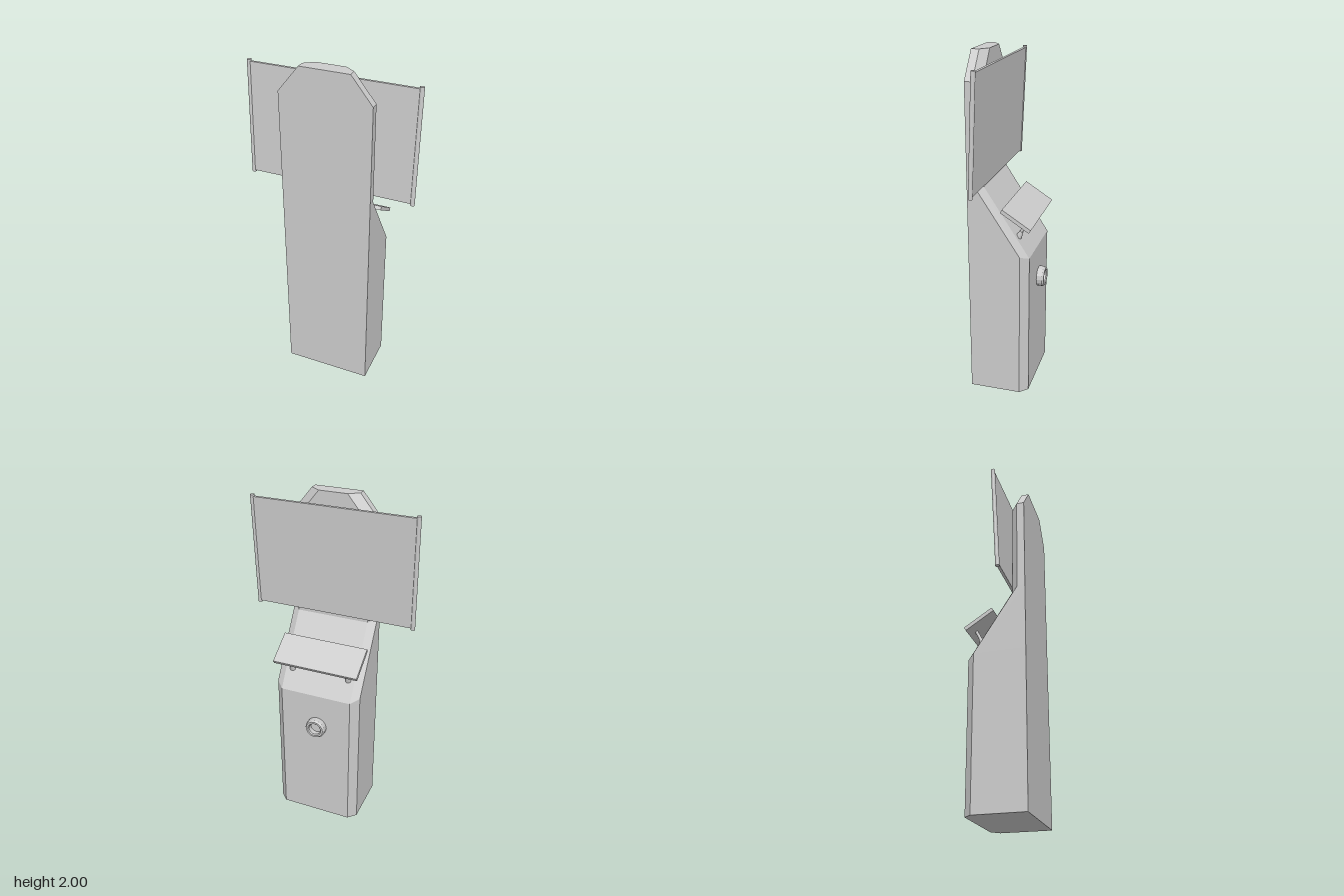
import * as THREE from 'three';

const material = new THREE.MeshStandardMaterial({ color: 0xcccccc, flatShading: true });

function add(parent, name, geometry, x = 0, y = 0, z = 0) {
  const mesh = new THREE.Mesh(geometry, material);
  mesh.name = name;
  mesh.position.set(x, y, z);
  parent.add(mesh);
  return mesh;
}

// Cabinet skin: a six-point cross-section, chamfered on the -z side, lofted upward.
function cabinetGeometry() {
  const front = 0.195;
  // side half width, side y, side z, inner half width, inner y, inner z
  const stations = [
    [0.26, 0, -0.105, 0.215, 0, -0.15],
    [0.26, 0.89, -0.105, 0.215, 0.87, -0.15],
    [0.26, 1.28, 0.15, 0.215, 1.27, 0.11],
    [0.26, 1.85, 0.15, 0.215, 1.834, 0.11],
    [0.14, 2, 0.15, 0.083, 2, 0.11],
  ];
  const rings = stations.map(([w, y, z, wi, yi, zi]) => [
    [-w, y, front], [-w, y, z], [-wi, yi, zi],
    [wi, yi, zi], [w, y, z], [w, y, front],
  ]);
  const out = [];
  const tri = (a, b, c) => out.push(...a, ...b, ...c);
  for (let i = 0; i < rings.length - 1; i++) {
    for (let k = 0; k < 6; k++) {
      const n = (k + 1) % 6;
      const a = rings[i][k], b = rings[i][n], c = rings[i + 1][n], d = rings[i + 1][k];
      tri(a, d, b);
      tri(b, d, c);
    }
  }
  const bottom = rings[0], top = rings[rings.length - 1];
  for (let k = 1; k < 5; k++) {
    tri(bottom[0], bottom[k], bottom[k + 1]);
    tri(top[0], top[k + 1], top[k]);
  }
  const geometry = new THREE.BufferGeometry();
  geometry.setAttribute('position', new THREE.Float32BufferAttribute(out, 3));
  geometry.computeVertexNormals();
  return geometry;
}

export function createModel() {
  const model = new THREE.Group();
  model.name = 'kiosk';

  add(model, 'cabinet', cabinetGeometry(), 0.008);

  // Wide display panel with a rounded rail down each end
  const display = new THREE.Group();
  display.name = 'display';
  display.position.set(-0.003, 1.614, 0.087);
  display.rotation.x = -0.046;
  model.add(display);
  add(display, 'displayPanel', new THREE.BoxGeometry(0.95, 0.64, 0.016));
  for (const side of [-1, 1]) {
    const rail = new THREE.CylinderGeometry(0.0125, 0.0125, 0.66, 12);
    add(display, side > 0 ? 'leftRail' : 'rightRail', rail, side * 0.475);
  }

  // Sloping shelf held on two stepped legs
  const shelf = new THREE.Group();
  shelf.name = 'shelf';
  shelf.position.set(0.007, 1.101, -0.079);
  shelf.rotation.x = -0.567;
  model.add(shelf);
  add(shelf, 'shelfBoard', new THREE.BoxGeometry(0.514, 0.022, 0.195));
  for (const side of [-1, 1]) {
    const leg = new THREE.Group();
    leg.name = side > 0 ? 'leftLeg' : 'rightLeg';
    leg.position.set(side * 0.175, -0.01, -0.052);
    leg.rotation.x = 0.12;
    shelf.add(leg);
    add(leg, 'legRod', new THREE.CylinderGeometry(0.009, 0.009, 0.07, 12), 0, -0.035);
    add(leg, 'legFoot', new THREE.CylinderGeometry(0.011, 0.018, 0.04, 12), 0, -0.076);
  }

  // Round socket with a bevelled rim and recessed floor
  const profile = [
    [0.06, 0], [0.06, 0.032], [0.053, 0.042], [0.042, 0.042],
    [0.036, 0.036], [0.036, 0.008], [0, 0.008],
  ].map(([r, y]) => new THREE.Vector2(r, y));
  const socket = add(model, 'socket', new THREE.LatheGeometry(profile, 16), -0.002, 0.66, -0.15);
  socket.rotation.x = -Math.PI / 2;

  return model;
}
